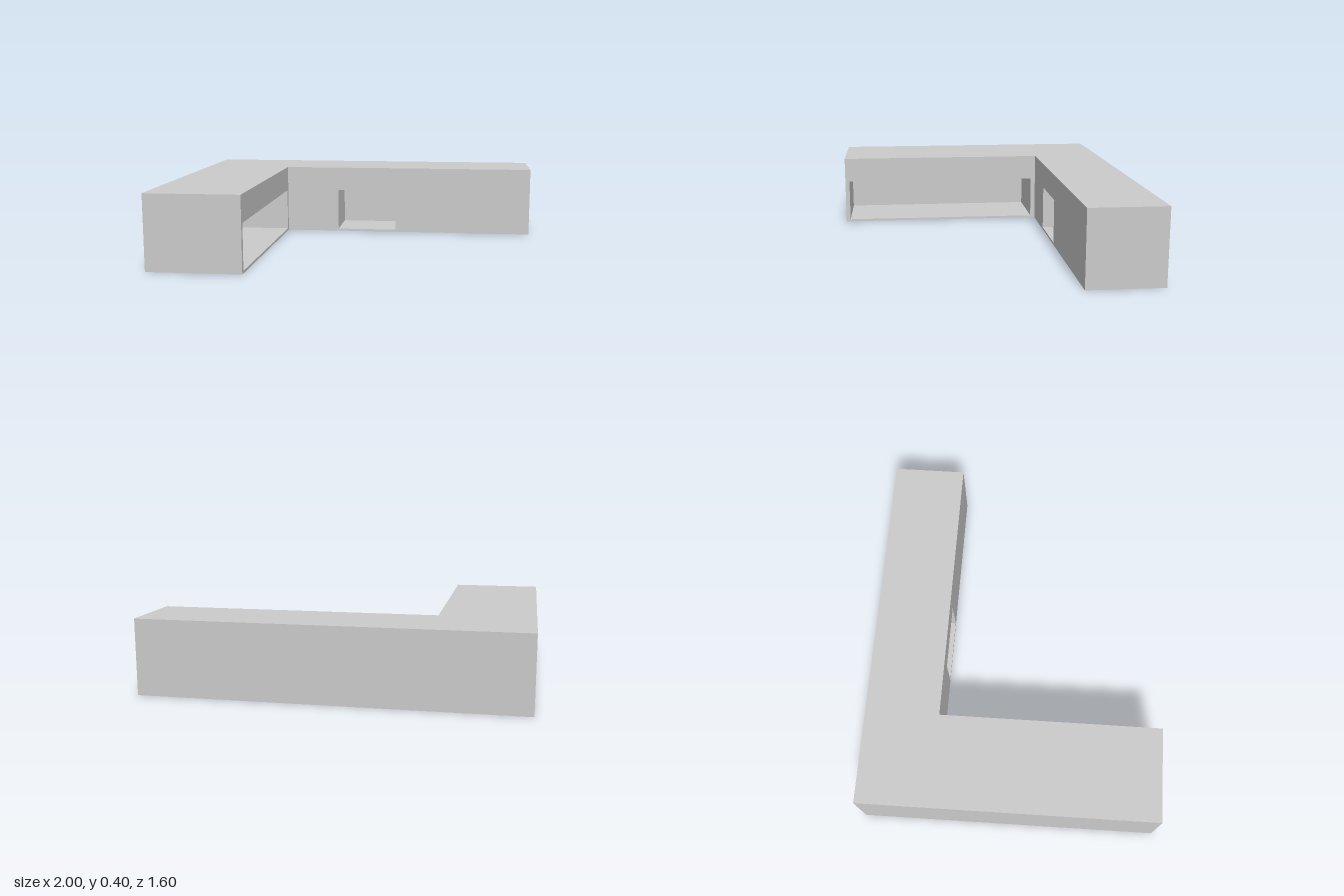
import * as THREE from 'three';

const HEIGHT = 0.4;
// L-shaped plan as [x, z], counter-clockwise seen from above
const PLAN = [[-1, 0.8], [-0.5, 0.8], [-0.5, -0.4], [1, -0.4], [1, -0.8], [-1, -0.8]];
const NAMES = ['wingEndWall', 'wingInnerWall', 'mainFrontWall', 'mainEndWall', 'backWall', 'outerSideWall'];

// Recesses by wall number: u runs along the wall from its start corner
const RECESSES = {
  1: { u0: 0.025, u1: 1.173, y0: 0.013, y1: 0.256, depth: 0.4 },
  2: { u0: 0.32, u1: 0.68, y0: 0.013, y1: 0.26, depth: 0.3 },
};

const rect = (Type, u0, y0, u1, y1) =>
  new Type([[u0, y0], [u1, y0], [u1, y1], [u0, y1]].map(([u, y]) => new THREE.Vector2(u, y)));

// Inward-facing box without its outer face
function recessGeometry({ u0, u1, y0, y1, depth }) {
  const g = new THREE.BoxGeometry(u1 - u0, y1 - y0, depth);
  g.setIndex(Array.from(g.index.array).slice(0, 30));
  g.scale(1, 1, -1);
  g.computeVertexNormals();
  return g.translate((u0 + u1) / 2, (y0 + y1) / 2, -depth / 2);
}

export function createModel() {
  const model = new THREE.Group();
  const material = new THREE.MeshStandardMaterial({ color: 0xcccccc });

  const add = (parent, name, geometry) => {
    const mesh = new THREE.Mesh(geometry, material);
    mesh.name = name;
    parent.add(mesh);
    return mesh;
  };

  // Flat roof and underside
  const plan = (sign) => new THREE.ShapeGeometry(
    new THREE.Shape(PLAN.map(([x, z]) => new THREE.Vector2(x, sign * z))));
  add(model, 'roof', plan(-1).rotateX(-Math.PI / 2).translate(0, HEIGHT, 0));
  add(model, 'underside', plan(1).rotateX(Math.PI / 2));

  // Walls around the plan, two of them with a recess
  PLAN.forEach(([x, z], i) => {
    const [nx, nz] = PLAN[(i + 1) % PLAN.length];
    const side = new THREE.Group();
    side.name = NAMES[i];
    side.position.set(x, 0, z);
    side.rotation.y = Math.atan2(z - nz, nx - x);
    model.add(side);

    const shape = rect(THREE.Shape, 0, 0, Math.hypot(nx - x, nz - z), HEIGHT);
    const r = RECESSES[i];
    if (r) {
      shape.holes.push(rect(THREE.Path, r.u0, r.y0, r.u1, r.y1));
      add(side, 'recess', recessGeometry(r));
    }
    add(side, 'wallPanel', new THREE.ShapeGeometry(shape));
  });

  return model;
}
